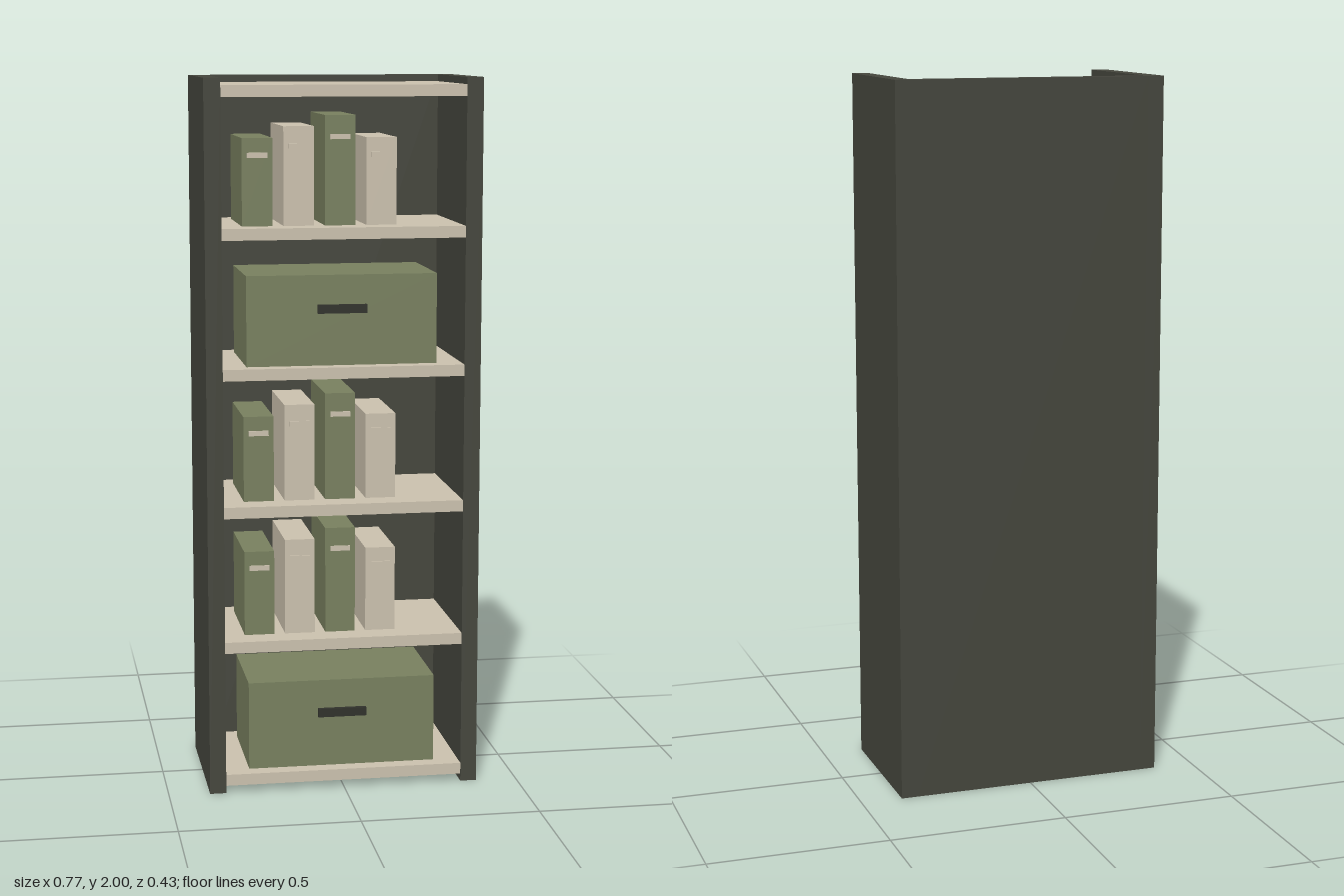
import * as THREE from 'three';

const material = (color) => new THREE.MeshStandardMaterial({ color });

export function createModel() {
  const model = new THREE.Group();
  model.name = 'bookcase';
  const dark = material(0x45463d);
  const handleDark = material(0x30312b);
  const cream = material(0xcbc1ae);
  const green = material(0x78805f);

  // Box given by its extents on each axis
  function block(parent, name, mat, [x0, x1], [y0, y1], [z0, z1]) {
    const mesh = new THREE.Mesh(new THREE.BoxGeometry(x1 - x0, y1 - y0, z1 - z0), mat);
    mesh.position.set((x0 + x1) / 2, (y0 + y1) / 2, (z0 + z1) / 2);
    mesh.name = name;
    parent.add(mesh);
  }

  // Carcass: two sides and a back panel
  const outer = 0.384, inner = 0.338, front = 0.215, backInner = -0.18;
  block(model, 'leftSide', dark, [inner, outer], [0, 2], [-front, front]);
  block(model, 'rightSide', dark, [-outer, -inner], [0, 2], [-front, front]);
  block(model, 'backPanel', dark, [-inner, inner], [0, 2], [-front, backInner]);

  // Six evenly spaced shelves
  const thickness = 0.032, pitch = 0.3855, firstTop = 0.053;
  const shelfTop = (i) => firstTop + i * pitch;
  for (let i = 0; i < 6; i++) {
    block(model, 'shelf', cream, [-inner, inner], [shelfTop(i) - thickness, shelfTop(i)], [backInner, front - 0.001]);
  }

  // Storage box with a bar handle
  function storageBox(y) {
    const group = new THREE.Group();
    group.name = 'storageBox';
    group.position.y = y;
    block(group, 'box', green, [-0.267, 0.267], [0, 0.252], [-0.135, 0.17]);
    block(group, 'handle', handleDark, [-0.069, 0.069], [0.146, 0.17], [0.165, 0.183]);
    model.add(group);
  }

  // Row of four files, each with a spine label
  function fileRow(y) {
    const group = new THREE.Group();
    group.name = 'fileRow';
    group.position.y = y;
    [0.241, 0.272, 0.302, 0.241].forEach((height, i) => {
      const x = -0.231 + i * 0.1153;
      const labelY = height * 0.805;
      block(group, 'file', i % 2 ? cream : green, [x - 0.0425, x + 0.0425], [0, height], [-0.125, 0.14]);
      block(group, 'label', cream, [x - 0.028, x + 0.028], [labelY - 0.007, labelY + 0.007], [0.138, 0.145]);
    });
    model.add(group);
  }

  [0, 3].forEach((i) => storageBox(shelfTop(i)));
  [1, 2, 4].forEach((i) => fileRow(shelfTop(i)));
  return model;
}
